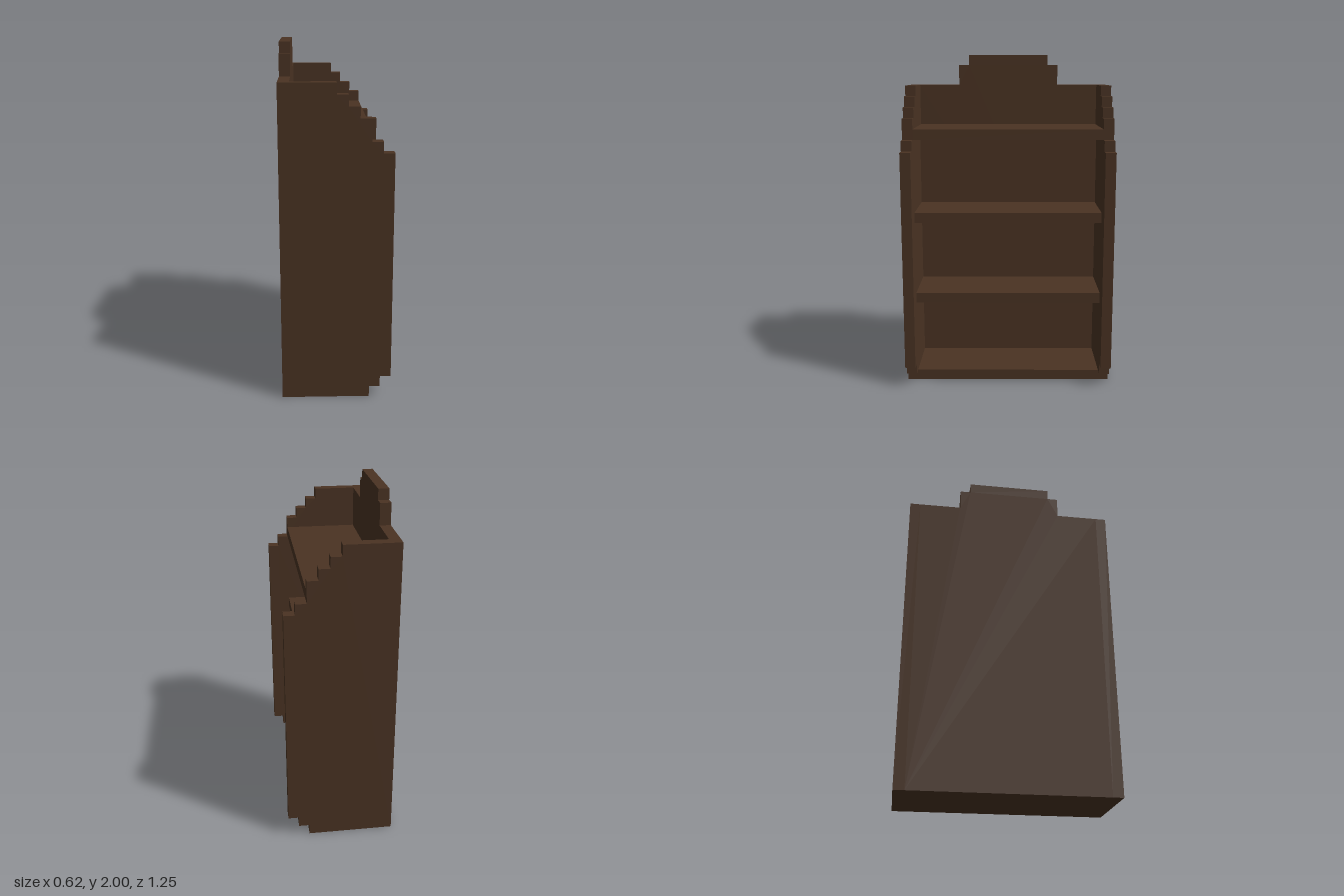
import * as THREE from 'three';

// All sizes are in blocks of 1/16 unit
const U = 1 / 16;

export function createModel() {
  const model = new THREE.Group();
  model.name = 'bookcase';
  const wood = new THREE.MeshStandardMaterial({ color: 0x4a3323 });
  wood.name = 'dark wood';

  const add = (geometry, name) => {
    const mesh = new THREE.Mesh(geometry, wood);
    mesh.name = name;
    model.add(mesh);
    return mesh;
  };
  const outline = (points) =>
    new THREE.Shape(points.map(([a, b]) => new THREE.Vector2(a * U, b * U)));
  const panel = (points) =>
    new THREE.ExtrudeGeometry(outline(points), { depth: U, bevelEnabled: false });
  const box = (name, x0, x1, y0, y1, halfZ) => {
    const g = new THREE.BoxGeometry((x1 - x0) * U, (y1 - y0) * U, 2 * halfZ * U);
    add(g.translate((x0 + x1) / 2 * U, (y0 + y1) / 2 * U, 0), name);
  };

  // Side panels with a stepped front edge
  const side = [
    [-5, 0], [3, 0], [3, 1], [4, 1], [4, 2], [5, 2], [5, 23], [4, 23], [4, 24], [3, 24],
    [3, 26], [2, 26], [2, 27], [1, 27], [1, 28], [0, 28], [0, 29], [-5, 29],
  ];
  add(panel(side), 'sidePanelA').position.z = 9 * U;
  add(panel(side), 'sidePanelB').position.z = -10 * U;

  // Back panel with a stepped crest
  const half = [[9, 0], [9, 29], [5, 29], [5, 31], [4, 31], [4, 32]];
  const back = [...half, ...half.map(([z, y]) => [-z, y]).reverse()];
  add(panel(back).rotateY(Math.PI / 2), 'backPanel').position.x = -5 * U;

  // Inner backing behind the open compartments
  box('innerBacking', -4, -3, 1, 24, 9);

  // Base, two shelves and the top board
  box('base', -4, 3, 0, 1, 9);
  for (const y of [8, 16]) box('shelf', -3, 3, y, y + 1, 9);
  box('topBoard', -4, 3, 24, 25, 9);

  return model;
}
